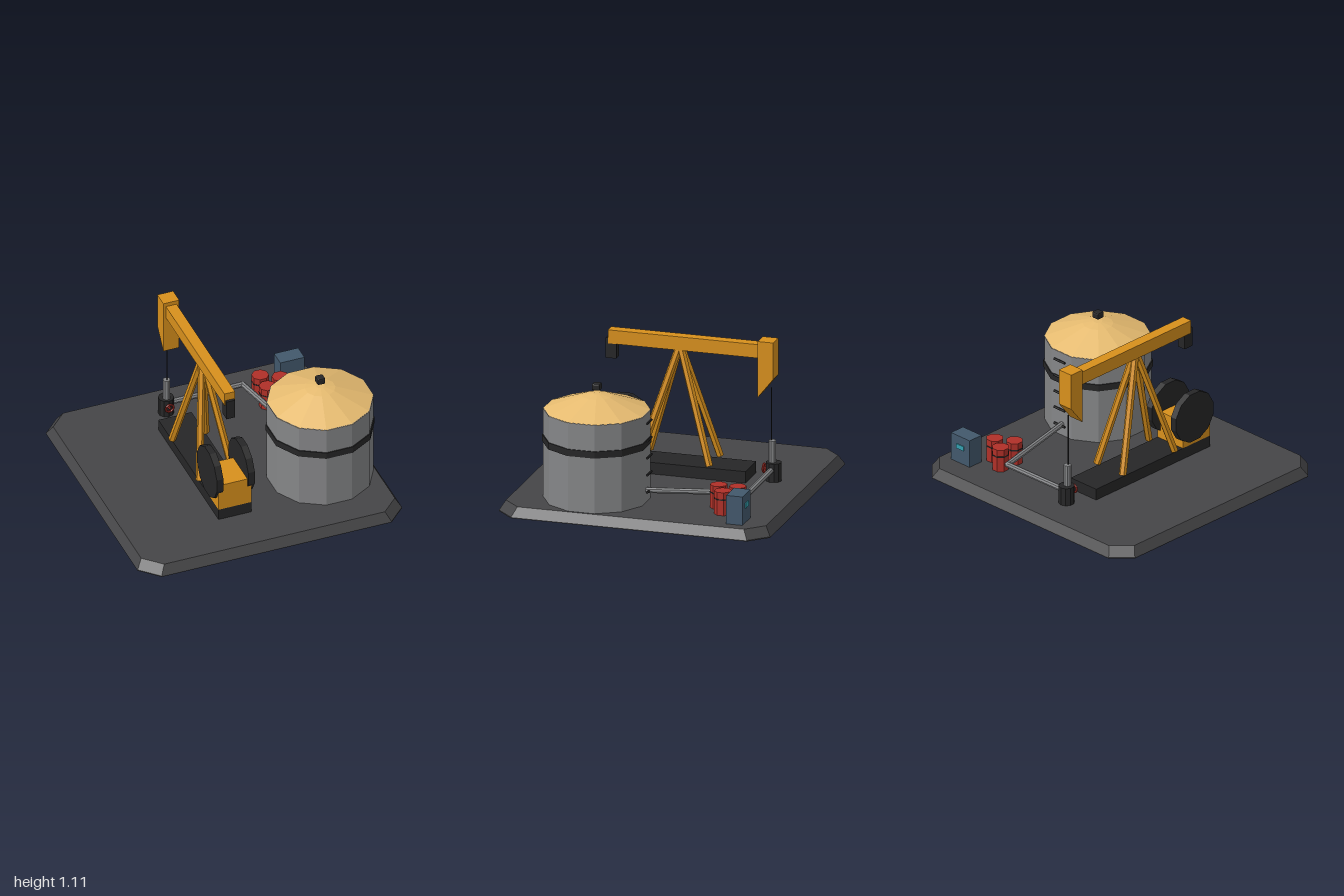
import * as THREE from 'three';
import { ConvexGeometry } from 'three/addons/geometries/ConvexGeometry.js';
import { RoundedBoxGeometry } from 'three/addons/geometries/RoundedBoxGeometry.js';

const paint = (color) => new THREE.MeshStandardMaterial({ color, flatShading: true });
const GOLD = paint(0xd8901c), TAN = paint(0xe6bb70), DARK = paint(0x262627), STEEL = paint(0x858688);
const RED = paint(0xb03028), BLUE = paint(0x42586c), SLAB = paint(0x454547), TEAL = paint(0x35a0b0);
const V = (x, y, z) => new THREE.Vector3(x, y, z);

export function createModel() {
  const model = new THREE.Group();
  const add = (name, geometry, material, x = 0, y = 0, z = 0, parent = model) => {
    const mesh = new THREE.Mesh(geometry, material);
    mesh.name = name;
    mesh.position.set(x, y, z);
    parent.add(mesh);
    return mesh;
  };
  const group = (name) => {
    const g = new THREE.Group();
    g.name = name;
    model.add(g);
    return g;
  };
  // box given by its lower and upper limits
  const block = (name, mat, [x0, x1], [y0, y1], [z0, z1], parent) =>
    add(name, new THREE.BoxGeometry(x1 - x0, y1 - y0, z1 - z0), mat,
      (x0 + x1) / 2, (y0 + y1) / 2, (z0 + z1) / 2, parent);
  // upright prism whose flat sides face the axes; r is measured to the flats
  const prism = (name, mat, r, sides, y0, y1, x, z, parent) => {
    const geo = new THREE.CylinderGeometry(1, 1, y1 - y0, sides);
    geo.rotateY(Math.PI / sides);
    const R = r / Math.cos(Math.PI / sides);
    geo.scale(R, 1, R);
    return add(name, geo, mat, x, (y0 + y1) / 2, z, parent);
  };
  // round bar between two points
  const bar = (name, mat, a, b, r, sides, parent) => {
    const m = add(name, new THREE.CylinderGeometry(r, r, a.distanceTo(b), sides), mat, 0, 0, 0, parent);
    m.position.copy(a).add(b).multiplyScalar(0.5);
    m.quaternion.setFromUnitVectors(V(0, 1, 0), b.clone().sub(a).normalize());
    return m;
  };

  // ground slab with cut corners and sloping edges
  const corners = [];
  for (const [s, y] of [[1, 0], [1, 0.008], [0.96, 0.075]])
    for (const sx of [-1, 1]) for (const sz of [-1, 1])
      corners.push(V(sx * s, y, sz * s * 0.87), V(sx * s * 0.87, y, sz * s));
  add('groundSlab', new ConvexGeometry(corners), SLAB);

  // storage tank
  const tank = group('storageTank'), tx = 0.58, tz = 0.37;
  prism('tankWall', STEEL, 0.365, 12, 0.07, 0.73, tx, tz, tank);
  prism('tankBand', DARK, 0.372, 12, 0.485, 0.535, tx, tz, tank);
  const k = 1 / Math.cos(Math.PI / 12);
  const roof = new THREE.LatheGeometry(
    [[0.367, 0.728], [0.105, 0.828], [0.03, 0.843], [0, 0.843]].map(([r, y]) => new THREE.Vector2(r * k, y)), 12);
  roof.rotateY(Math.PI / 12);
  add('tankRoof', roof, TAN, tx, 0, tz, tank);
  add('tankVentCap', new RoundedBoxGeometry(0.06, 0.05, 0.06, 1, 0.01), DARK, tx, 0.895, tz, tank);
  for (let i = 0; i < 5; i++) {
    const y = 0.162 + i * 0.127;
    bar('ladderRung', DARK, V(tx - 0.052, y, -0.017), V(tx + 0.052, y, -0.017), 0.009, 6, tank);
  }

  // pumping unit: skid, gearbox, crank discs
  const pump = group('pumpUnit'), px = -0.16;
  block('skid', DARK, [-0.285, -0.035], [0.07, 0.16], [-0.53, 0.612], pump);
  block('gearbox', GOLD, [-0.285, -0.035], [0.16, 0.37], [0.34, 0.612], pump);
  for (const s of [-1, 1]) {
    const disc = prism('crankDisc', DARK, 0.187, 12, -0.025, 0.025, px + s * 0.119, 0.44, pump);
    disc.position.y = 0.38;
    disc.rotation.z = Math.PI / 2;
    // frame legs meeting under the beam
    for (const t of [-1, 1])
      bar('frameLeg', GOLD, V(px + s * 0.127, 0.175, t * 0.26 - 0.005), V(px + s * 0.008, 0.985, -0.01 + t * 0.01), 0.027, 6, pump);
  }

  // walking beam, tail weight and head
  block('walkingBeam', GOLD, [-0.2, -0.12], [0.98, 1.08], [-0.605, 0.51], pump);
  block('tailWeight', DARK, [-0.192, -0.128], [0.87, 1.02], [0.452, 0.53], pump);
  const profile = new THREE.Shape([[0.6, 0.695], [0.715, 0.84], [0.715, 1.11], [0.6, 1.11]]
    .map(([z, y]) => new THREE.Vector2(z, y)));
  const head = new THREE.ExtrudeGeometry(profile, { depth: 0.12, bevelEnabled: false });
  head.rotateY(Math.PI / 2);
  add('beamHead', head, GOLD, px - 0.06, 0, 0, pump);

  // wellhead
  const well = group('wellhead'), wz = -0.695;
  add('wellCasing', new THREE.CylinderGeometry(0.057, 0.057, 0.14, 10), DARK, px, 0.14, wz - 0.005, well);
  add('wellTube', new THREE.CylinderGeometry(0.027, 0.027, 0.17, 8), STEEL, px, 0.285, -0.69, well);
  bar('pumpRod', DARK, V(px, 0.36, -0.683), V(px, 0.76, -0.683), 0.004, 6, well);
  const valve = add('valveWheel', new THREE.TorusGeometry(0.03, 0.008, 6, 10), RED, px, 0.16, -0.628, well);
  bar('valveStem', RED, V(px, 0.16, -0.66), V(px, 0.16, valve.position.z), 0.01, 6, well);

  // flow line from well to tank
  const line = group('flowLine'), bend = V(0.42, 0.162, -0.7);
  bar('flowPipe', STEEL, V(px, 0.162, wz), bend, 0.021, 8, line);
  bar('flowPipe', STEEL, bend, V(tx, 0.162, 0.02), 0.021, 8, line);
  add('pipeElbow', new THREE.SphereGeometry(0.022, 8, 6), STEEL, bend.x, bend.y, bend.z, line);

  // oil drums
  const drums = group('drums');
  for (const [x, z] of [[0.535, -0.655], [0.535, -0.515], [0.66, -0.585]]) {
    prism('drum', RED, 0.057, 8, 0.07, 0.245, x, z, drums);
    prism('drumBand', DARK, 0.059, 8, 0.186, 0.195, x, z, drums);
  }

  // control cabinet with a small screen on its back
  block('controlCabinet', BLUE, [0.697, 0.88], [0.07, 0.285], [-0.8, -0.68]);
  block('cabinetScreen', TEAL, [0.752, 0.825], [0.185, 0.22], [-0.807, -0.798]);

  return model;
}
